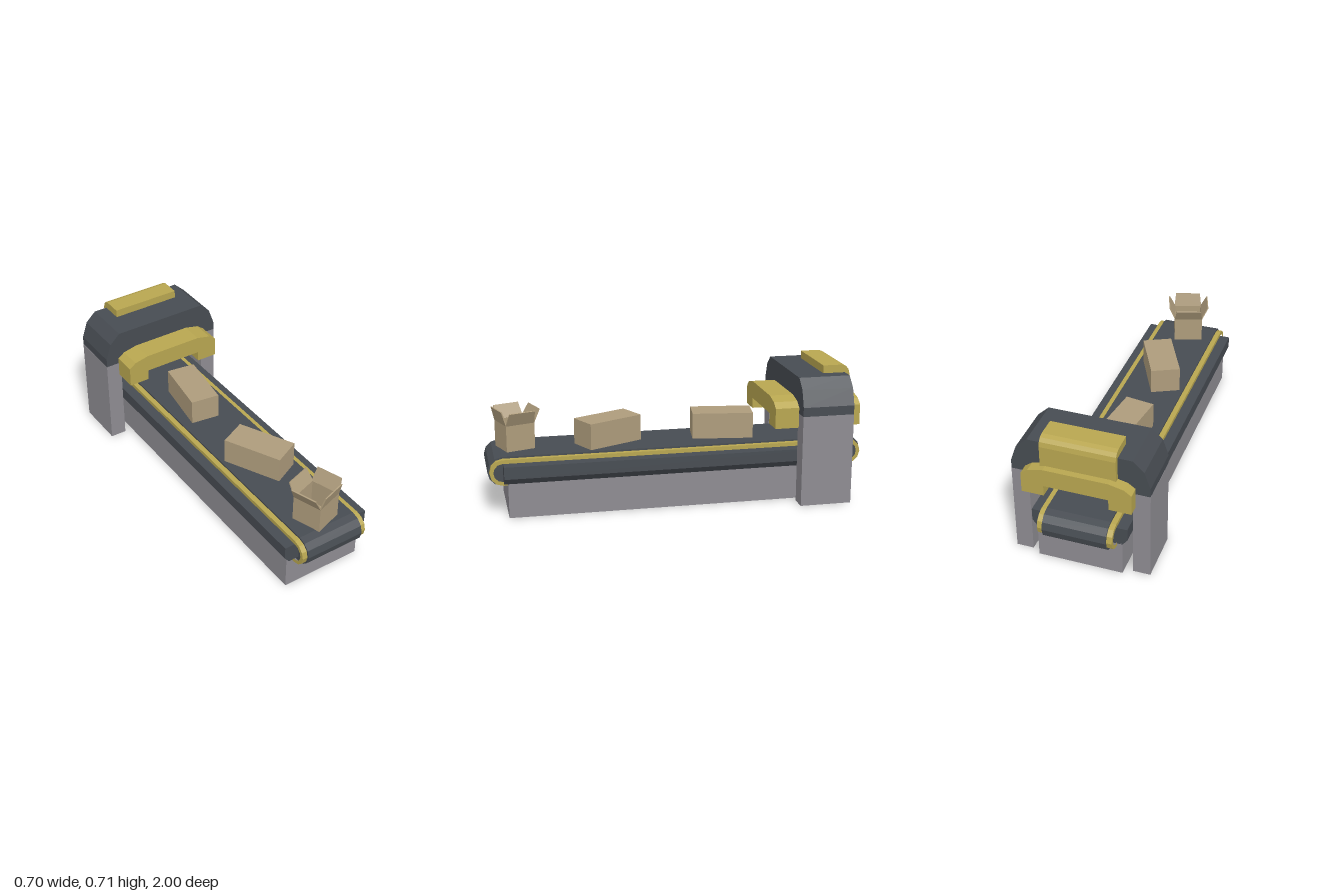
import * as THREE from 'three';

const mat = (name, color) => {
  const m = new THREE.MeshStandardMaterial({ color, flatShading: true });
  m.name = name;
  return m;
};

export function createModel() {
  const dark = mat('charcoal', 0x474c52);
  const yellow = mat('mustard', 0xb8a650);
  const grey = mat('grey', 0x8e8c92);
  const tan = mat('cardboard', 0xae9c7c);
  const root = new THREE.Group();

  const add = (parent, name, geo, material, x = 0, y = 0, z = 0) => {
    const m = new THREE.Mesh(geo, material);
    m.name = name;
    m.position.set(x, y, z);
    parent.add(m);
    return m;
  };
  const box = (parent, name, w, h, d, material, x, y, z) =>
    add(parent, name, new THREE.BoxGeometry(w, h, d), material, x, y, z);
  const shapeOf = (pts) => new THREE.Shape(pts.map(([a, b]) => new THREE.Vector2(a, b)));
  // Mirror half an outline across x = 0
  const mirrored = (half) => [...half, ...half.map(([x, y]) => [-x, y]).reverse()];
  // Extrude an (x, y) outline from z0 to z1
  const alongZ = (pts, z0, z1) =>
    new THREE.ExtrudeGeometry(shapeOf(pts), { depth: z1 - z0, bevelEnabled: false }).translate(0, 0, z0);
  // Extrude a (z, y) outline from x0 to x1
  const alongX = (pts, x0, x1, hole) => {
    const flip = (list) => list.map(([z, y]) => [-z, y]);
    const s = shapeOf(flip(pts));
    if (hole) s.holes.push(shapeOf(flip(hole)));
    return new THREE.ExtrudeGeometry(s, { depth: x1 - x0, bevelEnabled: false })
      .rotateY(Math.PI / 2).translate(x0, 0, 0);
  };
  // Long loop with rounded ends
  const loop = (r, steps = 6) => {
    const pts = [];
    for (const side of [1, -1])
      for (let i = 0; i <= steps; i++) {
        const a = Math.PI * (i / steps - 0.5);
        pts.push([side * (0.923 + r * Math.cos(a)), 0.235 + side * r * Math.sin(a)]);
      }
    return pts;
  };

  // Conveyor
  box(root, 'base', 0.438, 0.19, 1.82, grey, 0, 0.095, -0.01);
  add(root, 'sideRails', alongZ(mirrored([[0.22, 0.183], [0.245, 0.215], [0.245, 0.28]]), -0.92, 0.92), dark);
  add(root, 'belt', alongX(loop(0.077), -0.163, 0.163), dark);
  for (const s of [1, -1]) {
    const x0 = s > 0 ? 0.162 : -0.191;
    add(root, s > 0 ? 'leftBeltRim' : 'rightBeltRim', alongX(loop(0.068), x0, x0 + 0.029, loop(0.048)), yellow);
  }

  // Scanner gate
  const gate = new THREE.Group();
  gate.name = 'scannerGate';
  root.add(gate);
  for (const s of [1, -1])
    box(gate, s > 0 ? 'leftLeg' : 'rightLeg', 0.088, 0.485, 0.275, grey, s * 0.307, 0.2425, -0.7525);
  add(gate, 'gateTop', alongZ(mirrored([[0.35, 0.485], [0.35, 0.533], [0.32, 0.62], [0.263, 0.673]]),
    -0.89, -0.615), dark);
  add(gate, 'scannerArch', alongZ(mirrored([[0.163, 0.465], [0.163, 0.408], [0.277, 0.408], [0.277, 0.516],
    [0.24, 0.543], [0.163, 0.56]]), -0.95, -0.488), yellow);
  add(gate, 'topHousing', alongX([[-0.77, 0.66], [-0.77, 0.715], [-0.872, 0.715], [-0.895, 0.707],
    [-0.91, 0.69], [-0.916, 0.665], [-0.916, 0.55], [-0.88, 0.55], [-0.88, 0.66]], -0.19, 0.19), yellow);

  // Closed parcels
  box(root, 'backParcel', 0.156, 0.14, 0.324, tan, -0.011, 0.38, -0.27).rotation.y = -0.14;
  box(root, 'middleParcel', 0.158, 0.14, 0.32, tan, -0.002, 0.38, 0.353).rotation.y = 0.456;

  // Open parcel: floor, four walls and four tilted flaps
  const open = new THREE.Group();
  open.name = 'openParcel';
  open.position.set(-0.01, 0.31, 0.842);
  open.rotation.y = 0.32;
  root.add(open);
  box(open, 'floor', 0.156, 0.008, 0.156, tan, 0, 0.005, 0);
  const tilts = [0.27, 0.45, 0.5, 0.47];
  ['front', 'left', 'back', 'right'].forEach((side, i) => {
    const g = new THREE.Group();
    g.name = side + 'Side';
    g.rotation.y = i * Math.PI / 2;
    open.add(g);
    box(g, side + 'Wall', 0.158, 0.142, 0.006, tan, 0, 0.071, 0.076);
    const flap = add(g, side + 'Flap', alongZ([[-0.079, 0], [0.079, 0], [0.07, 0.077], [-0.07, 0.077]],
      -0.006, 0), tan, 0, 0.14, 0.079);
    flap.rotation.x = tilts[i];
  });
  return root;
}
